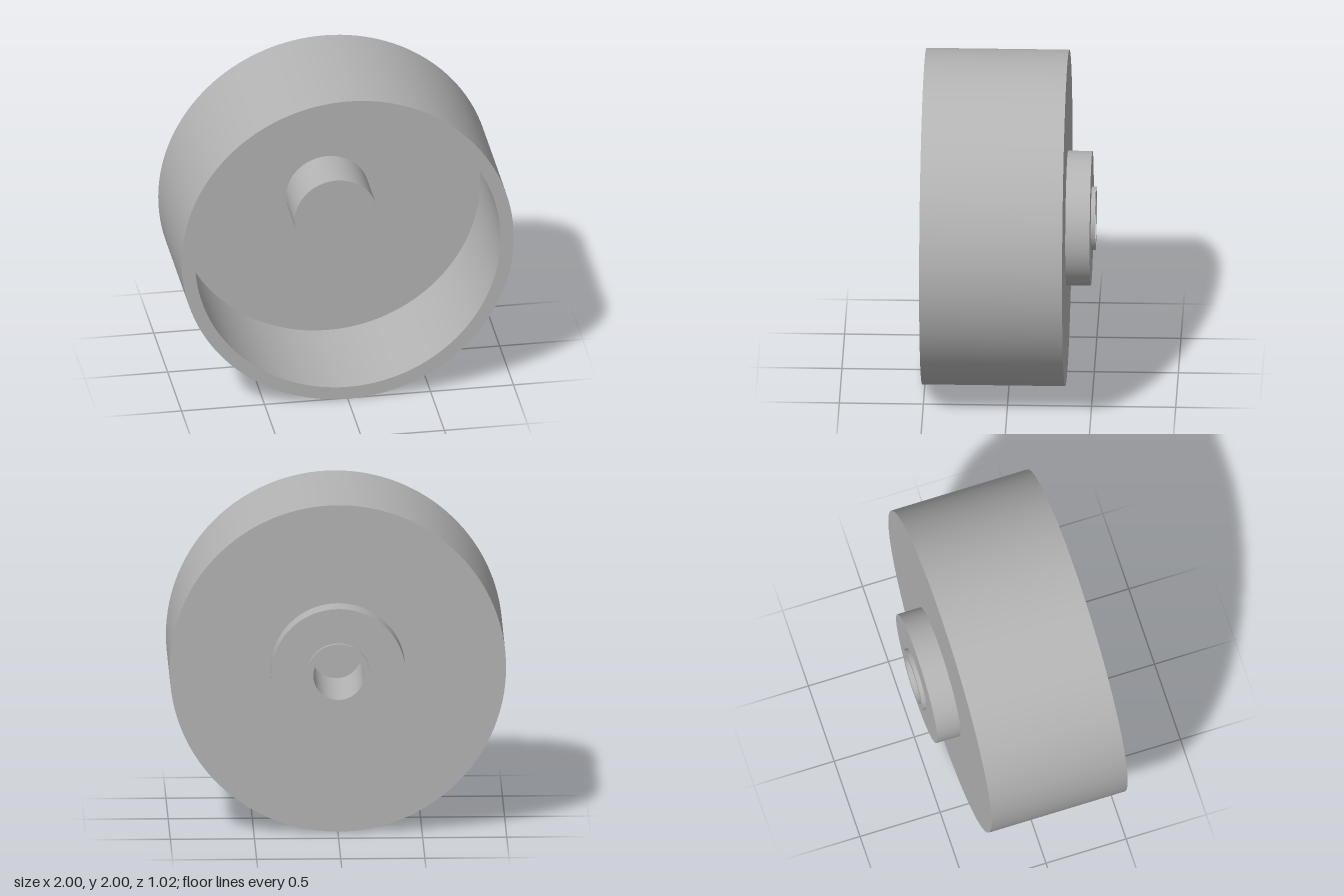
import * as THREE from 'three';
import { mergeGeometries } from 'three/addons/utils/BufferGeometryUtils.js';

const SEGMENTS = 128;

// Revolve a [radius, z] profile about the z axis, keeping every profile corner sharp
function revolve(name, profile, material) {
  const bands = [];
  for (let i = 0; i < profile.length - 1; i++) {
    const pair = [profile[i], profile[i + 1]].map(([r, z]) => new THREE.Vector2(r, z));
    bands.push(new THREE.LatheGeometry(pair, SEGMENTS));
  }
  const geometry = mergeGeometries(bands);
  geometry.rotateX(Math.PI / 2);
  const mesh = new THREE.Mesh(geometry, material);
  mesh.name = name;
  return mesh;
}

export function createModel() {
  const grey = new THREE.MeshStandardMaterial({ color: 0xb4b4b4 });
  grey.name = 'grey';

  const wheel = new THREE.Group();
  wheel.name = 'wheel';
  wheel.add(
    // Open-fronted drum: back plate, tread, rim, inner wall and inner floor
    revolve('drum', [[0.4, -0.34], [1, -0.34], [1, 0.51], [0.92, 0.51], [0.92, -0.22], [0.25, -0.22]], grey),
    // Solid boss standing on the inner floor
    revolve('boss', [[0.25, -0.22], [0.25, 0.095], [0, 0.095]], grey),
    // Raised hub on the back
    revolve('hub', [[0.19, -0.485], [0.4, -0.485], [0.4, -0.34]], grey),
    // Thin collar around the axle hole
    revolve('collar', [[0.15, -0.51], [0.19, -0.51], [0.19, -0.485]], grey),
    // Blind axle hole running into the boss
    revolve('axleHole', [[0, 0.02], [0.15, 0.02], [0.15, -0.51]], grey),
  );
  wheel.position.y = 1;

  const model = new THREE.Group();
  model.name = 'model';
  model.add(wheel);
  return model;
}
